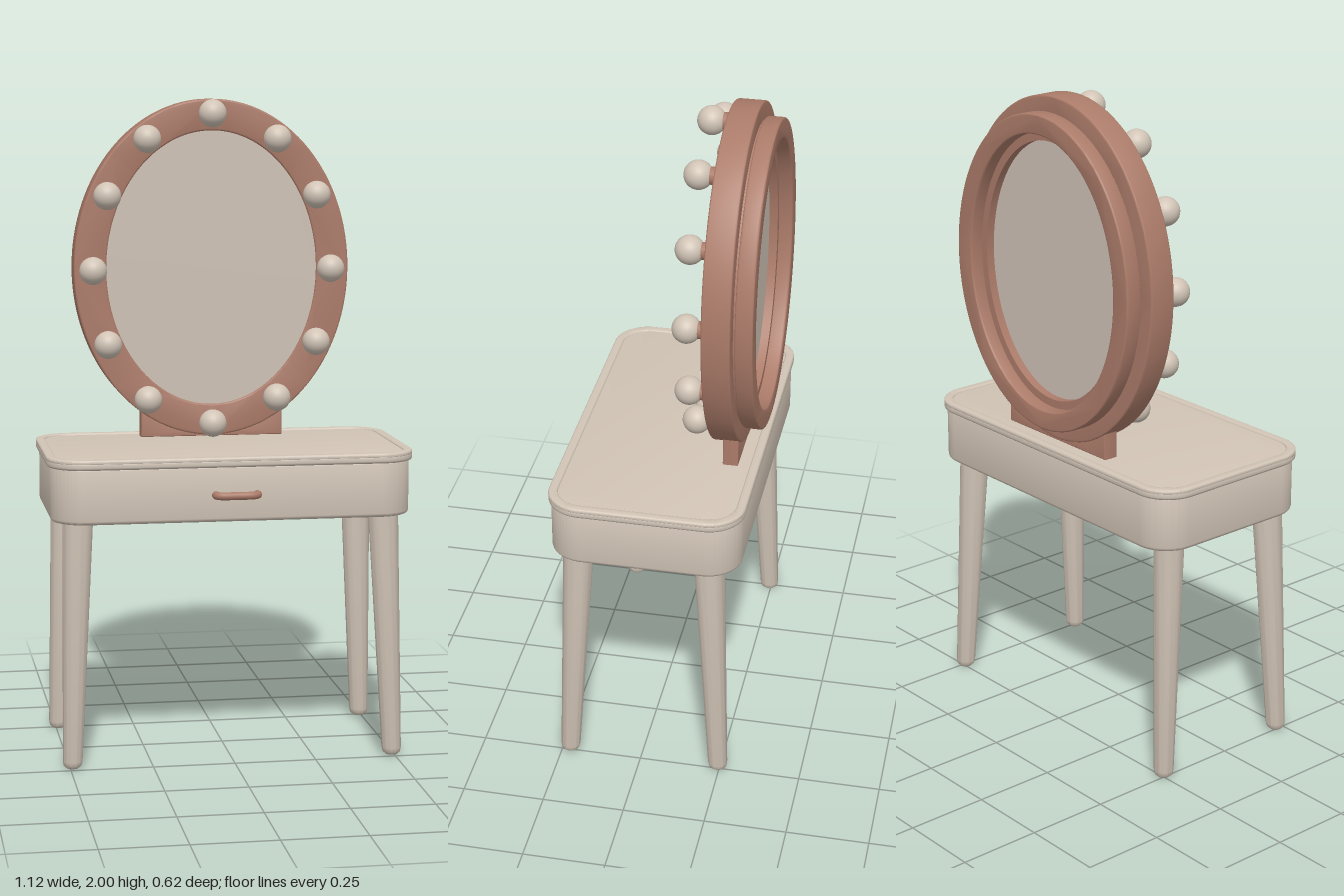
import * as THREE from 'three';
import { toCreasedNormals } from 'three/addons/utils/BufferGeometryUtils.js';

const mat = (name, color) => {
  const m = new THREE.MeshStandardMaterial({ color });
  m.name = name;
  return m;
};

export function createModel() {
  const cream = mat('cream paint', 0xd1c4b6);
  const copper = mat('copper', 0xab7b69);
  const glass = mat('mirror glass', 0xcec1b5);
  const model = new THREE.Group();
  model.name = 'vanityTable';

  const add = (name, geometry, material, parent = model) => {
    const mesh = new THREE.Mesh(geometry, material);
    mesh.name = name;
    parent.add(mesh);
    return mesh;
  };

  // Extrusion between two depths with a softened edge that stays inside the outline
  const slab = (shape, from, to, bevel) => {
    const g = new THREE.ExtrudeGeometry(shape, {
      depth: to - from - 2 * bevel, bevelEnabled: bevel > 0, bevelSize: bevel,
      bevelThickness: bevel, bevelOffset: -bevel, bevelSegments: 3, curveSegments: 64,
    });
    g.translate(0, 0, from + bevel);
    return toCreasedNormals(g, 0.6);
  };

  // Rounded rectangle on the ground plane; shape y becomes -z
  const roundedRect = (hx, hz, r) => {
    const s = new THREE.Shape();
    s.absarc(hx - r, hz - r, r, 0, Math.PI / 2);
    s.absarc(-hx + r, hz - r, r, Math.PI / 2, Math.PI);
    s.absarc(-hx + r, -hz + r, r, Math.PI, Math.PI * 1.5);
    s.absarc(hx - r, -hz + r, r, Math.PI * 1.5, Math.PI * 2);
    s.closePath();
    return s;
  };
  const tableZ = -0.015;
  const flat = (shape, y0, y1, bevel) =>
    slab(shape, y0, y1, bevel).rotateX(-Math.PI / 2).translate(0, 0, tableZ);

  // Table body, top and its slightly raised rim
  add('tableBody', flat(roundedRect(0.548, 0.288, 0.105), 0.75, 0.925, 0.012), cream);
  add('tableTop', flat(roundedRect(0.558, 0.295, 0.11), 0.915, 0.941, 0.008), cream);
  const rim = roundedRect(0.558, 0.295, 0.11);
  rim.holes.push(roundedRect(0.53, 0.267, 0.085));
  add('tableRim', flat(rim, 0.93, 0.946, 0.005), cream);

  // Tapered, splayed legs with rounded feet
  const legProfile = [[0, 0], [0.018, 0.002], [0.027, 0.01], [0.03, 0.024], [0.046, 0.76], [0, 0.76]]
    .map(([r, y]) => new THREE.Vector2(r, y));
  for (const side of [-1, 1]) {
    for (const [name, footZ, topZ] of [['frontLeg', 0.225, 0.19], ['backLeg', -0.245, -0.207]]) {
      const g = toCreasedNormals(new THREE.LatheGeometry(legProfile, 28), 0.7);
      const p = g.attributes.position;
      for (let i = 0; i < p.count; i++) {
        const t = p.getY(i) / 0.76;
        p.setX(i, p.getX(i) + side * THREE.MathUtils.lerp(0.493, 0.467, t));
        p.setZ(i, p.getZ(i) + THREE.MathUtils.lerp(footZ, topZ, t));
      }
      add(name, g, cream);
    }
  }

  // Drawer pull
  const pull = new THREE.CatmullRomCurve3([
    [-0.062, 0.268], [-0.062, 0.287], [-0.048, 0.298], [0, 0.3],
    [0.048, 0.298], [0.062, 0.287], [0.062, 0.268],
  ].map(([x, z]) => new THREE.Vector3(x, 0.833, z)));
  add('drawerPull', new THREE.TubeGeometry(pull, 40, 0.012, 12), copper);

  // Oval mirror assembly
  const mirror = new THREE.Group();
  mirror.name = 'mirrorAssembly';
  mirror.position.set(-0.004, 1.475, 0);
  model.add(mirror);
  const oval = (rx, ry) => new THREE.Shape().absellipse(0, 0, rx, ry, 0, Math.PI * 2);
  const ring = (rx, ry, ix, iy) => {
    const s = oval(rx, ry);
    s.holes.push(oval(ix, iy));
    return s;
  };
  add('frontFrame', slab(ring(0.433, 0.525, 0.332, 0.428), -0.252, -0.167, 0.005), copper, mirror);
  add('frameGroove', slab(ring(0.385, 0.47, 0.305, 0.395), -0.268, -0.24, 0), copper, mirror);
  add('backRing', slab(ring(0.395, 0.48, 0.33, 0.42), -0.31, -0.258, 0.005), copper, mirror);
  add('mirrorGlass', slab(oval(0.335, 0.431), -0.242, -0.175, 0), glass, mirror);

  // Bulbs around the frame, each on a short socket
  const socketGeo = new THREE.CylinderGeometry(0.024, 0.028, 0.04, 20).rotateX(Math.PI / 2);
  const bulbGeo = new THREE.SphereGeometry(0.043, 28, 20);
  const quarter = [0, 33, 61.5];
  for (let q = 0; q < 4; q++) {
    for (let k = 0; k < 3; k++) {
      const deg = q % 2 ? q * 90 + (k ? 90 - quarter[3 - k] : 0) : q * 90 + quarter[k];
      const a = THREE.MathUtils.degToRad(deg);
      const x = 0.373 * Math.sin(a) - 0.006, y = 0.481 * Math.cos(a);
      add('bulbSocket', socketGeo, copper, mirror).position.set(x, y, -0.156);
      add('bulb', bulbGeo, cream, mirror).position.set(x, y, -0.115);
    }
  }

  // Stand cradling the bottom of the frame
  const stand = new THREE.Shape();
  stand.moveTo(-0.225, 0.942);
  stand.lineTo(0.225, 0.942);
  stand.lineTo(0.225, 1.03);
  for (let i = 0; i <= 16; i++) {
    const x = 0.215 - (0.43 * i) / 16;
    stand.lineTo(x, 1.485 - 0.515 * Math.sqrt(1 - (x / 0.433) ** 2));
  }
  stand.lineTo(-0.225, 1.03);
  stand.closePath();
  add('mirrorStand', slab(stand, -0.247, -0.2, 0.003), copper);

  return model;
}
